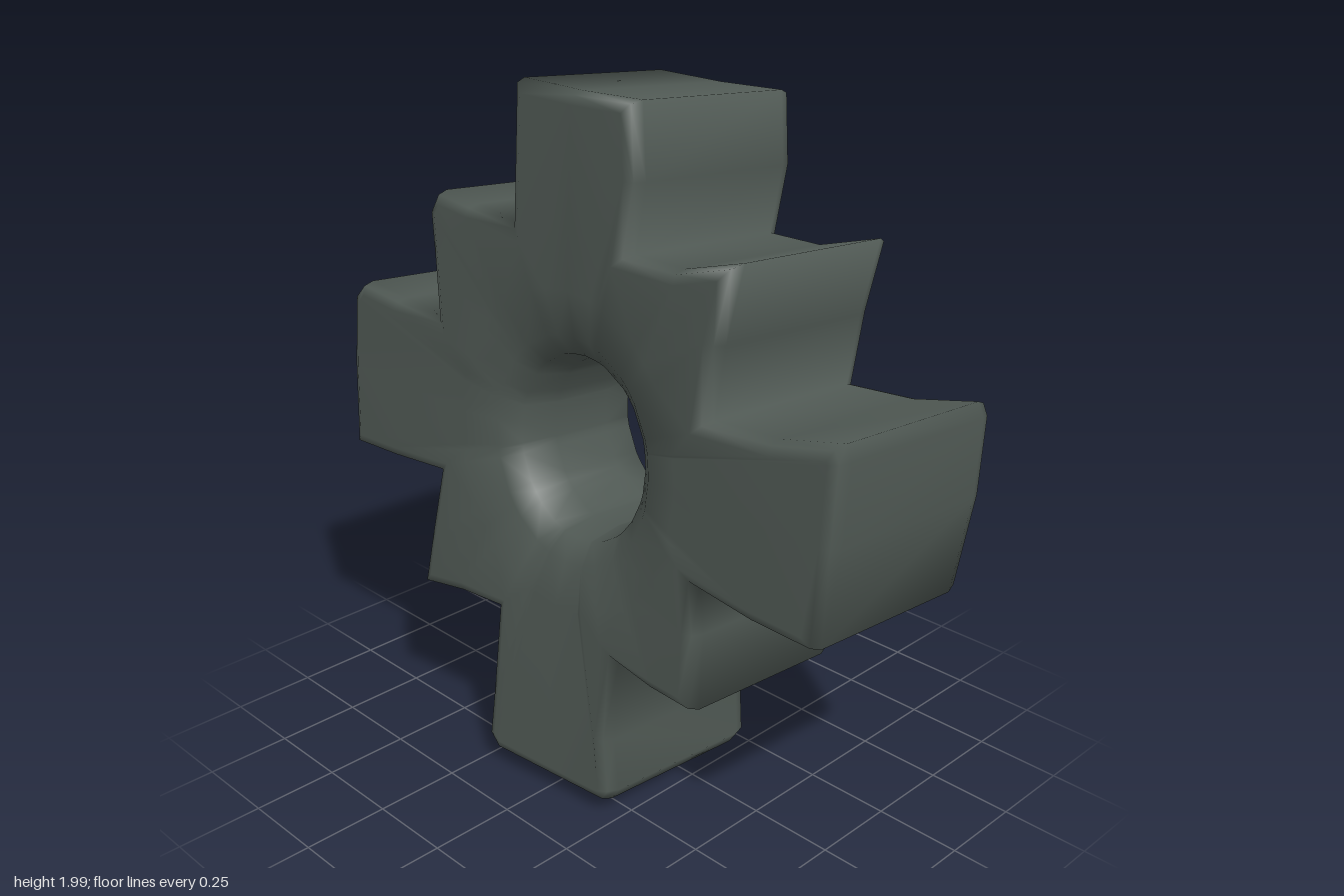
import * as THREE from 'three';

// Gear outline, clockwise from the upper left of the top tooth
const OUTLINE = [
  [-0.225, 2], [0, 1.995], [0.21, 2], [0.235, 1.8], [0.21, 1.61],
  [0.38, 1.61], [0.57, 1.665], [0.53, 1.45], [0.51, 1.25],
  [0.72, 1.265], [0.91, 1.31], [0.93, 1.27], [0.93, 1.05], [0.895, 0.77], [0.7, 0.775], [0.5, 0.8],
  [0.52, 0.66], [0.515, 0.43], [0.37, 0.44], [0.225, 0.47],
  [0.215, 0.2], [0.235, 0.04], [0.21, 0.0], [0, 0], [-0.2, 0], [-0.24, 0.04], [-0.235, 0.22], [-0.23, 0.46],
  [-0.38, 0.45], [-0.56, 0.42], [-0.54, 0.6], [-0.51, 0.8],
  [-0.72, 0.78], [-0.92, 0.77], [-0.94, 1.03], [-0.935, 1.25], [-0.89, 1.3], [-0.72, 1.285], [-0.53, 1.27],
  [-0.555, 1.45], [-0.575, 1.58], [-0.54, 1.645], [-0.4, 1.63], [-0.22, 1.61],
].map(([x, y]) => new THREE.Vector2(x, y));

const CENTRE = new THREE.Vector2(0, 1.01);
const BEVEL = 0.035;

// Front and back faces lean slightly with height
const frontZ = (x, y) => 0.285 - 0.07 * (y - 1) - 0.1 * x * Math.max(0, 1 - y) ** 2;
const backZ = (x, y) => -0.315 - 0.067 * (y - 1) - 0.02 * x;

// Cross-section from the outer wall over the front, through the hole, and round the back.
// inset: distance in from the outline; radius: ring about the hole; depth: below the face.
const HALF = [
  { inset: 0, depth: 0.045 },
  { inset: 0.01, depth: 0.012 },
  { inset: BEVEL, depth: 0 },
  { radius: 0.42, depth: 0.015 },
  { radius: 0.3, depth: 0.045 },
  { radius: 0.245, depth: 0.09 },
  { radius: 0.225, depth: 0.2 },
];
const SECTION = [
  ...HALF.map((s) => ({ ...s, front: true })),
  ...HALF.slice().reverse().map((s) => ({ ...s, front: false })),
];

// Moves outline corner i inwards by a mitred distance
function insetPoint(i, distance) {
  const n = OUTLINE.length;
  const p = OUTLINE[i];
  const normal = (a, b) => {
    const d = b.clone().sub(a).normalize();
    return new THREE.Vector2(d.y, -d.x);
  };
  const n1 = normal(OUTLINE[(i + n - 1) % n], p);
  const n2 = normal(p, OUTLINE[(i + 1) % n]);
  const mitre = n1.clone().add(n2).divideScalar(Math.max(0.4, 1 + n1.dot(n2)));
  return p.clone().addScaledVector(mitre, distance);
}

// Slightly tall ring about the hole, in line with outline corner i
function ringPoint(i, radius) {
  const angle = insetPoint(i, BEVEL).sub(CENTRE).angle();
  const r = radius * (1 + 0.1 * Math.sin(angle) ** 2);
  return new THREE.Vector2(Math.cos(angle), Math.sin(angle)).multiplyScalar(r).add(CENTRE);
}

function gearGeometry() {
  const n = OUTLINE.length;
  const positions = [];
  const index = [];
  SECTION.forEach((s, k) => {
    OUTLINE.forEach((p, i) => {
      const q = s.radius === undefined ? insetPoint(i, s.inset) : ringPoint(i, s.radius);
      const z = s.front ? frontZ(q.x, q.y) - s.depth : backZ(q.x, q.y) + s.depth;
      // Tilt the whole body a little
      positions.push(q.x, 1 + (q.y - 1) * 0.98 + 0.08 * z, z);

      // Split each quad from its corner nearest the hole, so faces never fold
      const j = (i + 1) % n;
      const a = k * n;
      const b = ((k + 1) % SECTION.length) * n;
      const nearerFirst = p.distanceTo(CENTRE) < OUTLINE[j].distanceTo(CENTRE);
      if (nearerFirst === s.front) index.push(a + i, b + i, b + j, a + i, b + j, a + j);
      else index.push(a + i, b + i, a + j, a + j, b + i, b + j);
    });
  });
  const geometry = new THREE.BufferGeometry();
  geometry.setAttribute('position', new THREE.Float32BufferAttribute(positions, 3));
  geometry.setIndex(index);
  geometry.computeVertexNormals();
  return geometry;
}

export function createModel() {
  const group = new THREE.Group();
  group.name = 'gear';
  const darkMetal = new THREE.MeshStandardMaterial({ color: 0x4f5853 });
  darkMetal.name = 'dark grey green';
  const body = new THREE.Mesh(gearGeometry(), darkMetal);
  body.name = 'gearBody';
  group.add(body);
  return group;
}
